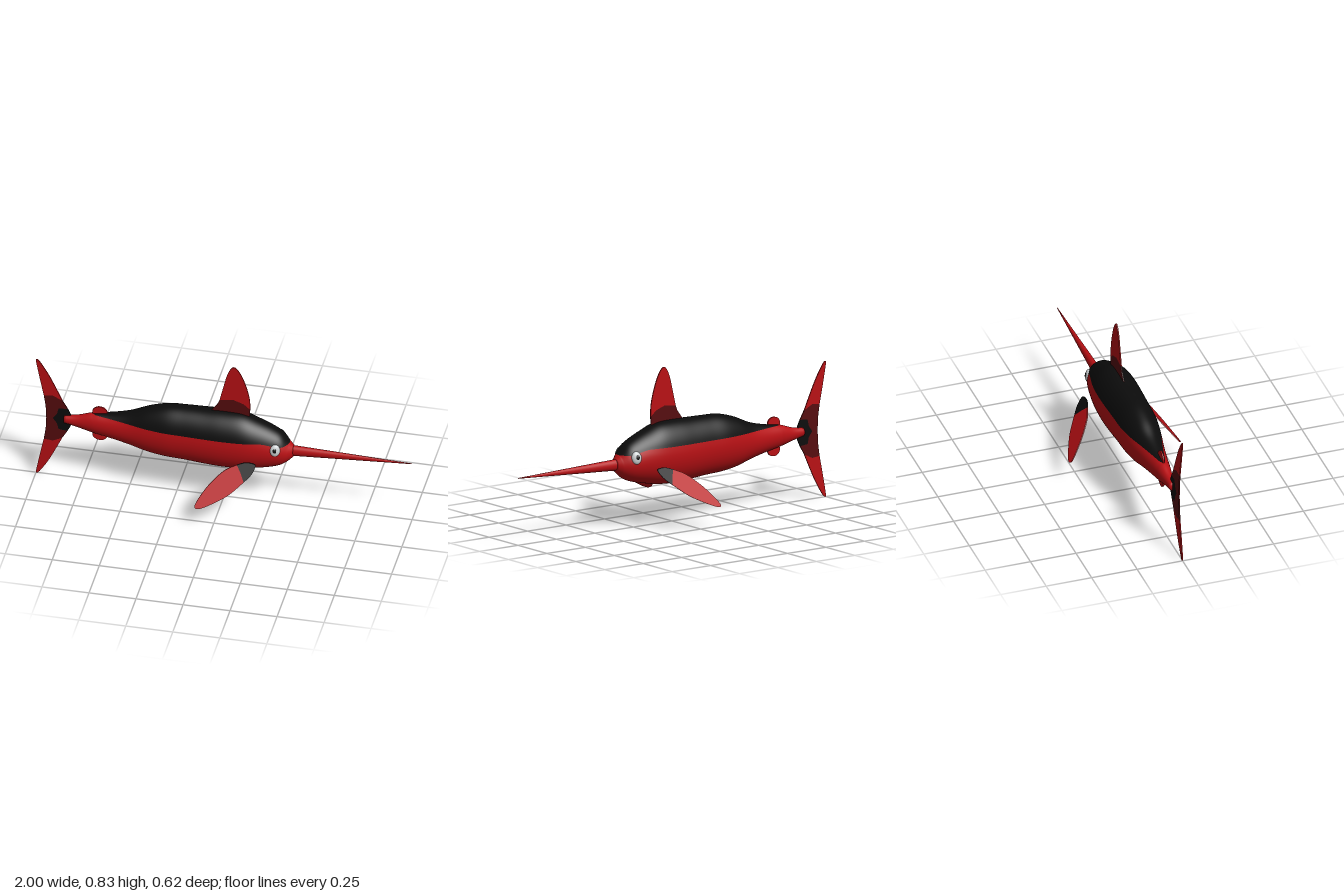
import * as THREE from 'three';

const paint = (name, color) => {
  const m = new THREE.MeshStandardMaterial({ color });
  m.name = name;
  return m;
};

export function createModel() {
  const model = new THREE.Group();
  model.name = 'swordfish';
  const red = paint('red', 0xb81014);
  const darkRed = paint('dark red', 0x560c0e);
  const black = paint('black', 0x0c0c0c);
  const white = paint('eye white', 0xccd0d2);

  const add = (name, geometry, material, parent = model) => {
    const mesh = new THREE.Mesh(geometry, material);
    mesh.name = name;
    parent.add(mesh);
    return mesh;
  };

  // Body stations: x, top y, bottom y, half width
  const stations = [
    [-0.85, 0.39, 0.345, 0.02], [-0.78, 0.40, 0.33, 0.026], [-0.7, 0.425, 0.31, 0.04],
    [-0.6, 0.44, 0.292, 0.056], [-0.5, 0.465, 0.27, 0.073], [-0.4, 0.508, 0.242, 0.092],
    [-0.3, 0.535, 0.228, 0.105], [-0.2, 0.54, 0.223, 0.109], [-0.1, 0.542, 0.215, 0.114],
    [0, 0.545, 0.21, 0.117], [0.1, 0.54, 0.214, 0.114], [0.18, 0.512, 0.228, 0.105],
    [0.26, 0.478, 0.246, 0.09], [0.31, 0.448, 0.265, 0.075], [0.345, 0.405, 0.29, 0.052],
    [0.37, 0.38, 0.315, 0.028],
  ];
  const heights = new THREE.CatmullRomCurve3(
    stations.map(([x, t, b]) => new THREE.Vector3(x, t, b)), false, 'catmullrom', 0.5);
  const widths = new THREE.CatmullRomCurve3(
    stations.map(([x, , , w]) => new THREE.Vector3(x, w, 0)), false, 'catmullrom', 0.5);
  const rings = [];
  for (let i = 0; i <= 75; i++) {
    const p = heights.getPoint(i / 75);
    rings.push({ x: p.x, cy: (p.y + p.z) / 2, h: (p.y - p.z) / 2, w: widths.getPoint(i / 75).y });
  }
  // Collapsed end rings close the tail stalk and snout
  rings.unshift({ ...rings[0], h: 0.0001, w: 0.0001 });
  rings.push({ ...rings[rings.length - 1], h: 0.0001, w: 0.0001 });

  // Lofts either the back or the belly, split at the colour line
  const loft = (isBack) => {
    const pos = [], index = [], n = 28;
    rings.forEach(({ x, cy, h, w }, i) => {
      const line = 0.425 - 0.025 * THREE.MathUtils.smoothstep(x, 0.2, 0.33);
      const s = Math.asin(THREE.MathUtils.clamp((line - cy) / h, -1, 1));
      const from = isBack ? s : Math.PI - s;
      const to = isBack ? Math.PI - s : 2 * Math.PI + s;
      for (let j = 0; j <= n; j++) {
        const t = from + (to - from) * j / n;
        pos.push(x, cy + h * Math.sin(t), w * Math.cos(t));
        if (i < rings.length - 1 && j < n) {
          const a = i * (n + 1) + j, b = a + n + 1;
          index.push(a, b, a + 1, b, b + 1, a + 1);
        }
      }
    });
    const g = new THREE.BufferGeometry();
    g.setAttribute('position', new THREE.Float32BufferAttribute(pos, 3));
    g.setIndex(index);
    g.computeVertexNormals();
    return g;
  };
  add('back', loft(true), black);
  add('belly', loft(false), red);

  // Sword, flattened sideways
  const sword = new THREE.CylinderGeometry(0.002, 0.031, 0.65, 24);
  sword.rotateZ(-Math.PI / 2).scale(1, 1, 0.75);
  const swordMesh = add('sword', sword, red);
  swordMesh.position.set(0.675, 0.354, 0);
  swordMesh.rotation.z = 0.016;

  // Thin plate: straight base corners, then a smooth edge through the curve points
  const plate = (corners, curve = []) => {
    const shape = new THREE.Shape(corners.map((p) => new THREE.Vector2(...p)));
    if (curve.length) shape.splineThru(curve.map((p) => new THREE.Vector2(...p)));
    const g = new THREE.ExtrudeGeometry(shape, { depth: 0.006, bevelEnabled: false, curveSegments: 24 });
    return g.translate(0, 0, -0.003);
  };

  // Dorsal fin
  const dorsal = new THREE.Group();
  dorsal.name = 'dorsalFin';
  model.add(dorsal);
  add('dorsalFinTip', plate([[0.139, 0.575], [0.105, 0.605], [0.05, 0.624], [-0.023, 0.615]],
    [[-0.005, 0.69], [0.02, 0.785], [0.05, 0.829], [0.083, 0.8], [0.115, 0.725], [0.136, 0.64], [0.139, 0.575]]), red, dorsal);
  add('dorsalFinBase', plate([[-0.023, 0.615], [-0.035, 0.585], [-0.065, 0.545], [-0.065, 0.52],
    [0.12, 0.51], [0.137, 0.535], [0.139, 0.575], [0.105, 0.605], [0.05, 0.624]]), darkRed, dorsal);

  // Tail fin: one lobe, mirrored about the body line
  const midY = 0.364;
  for (const side of [1, -1]) {
    const lobe = new THREE.Group();
    lobe.name = side > 0 ? 'upperTailLobe' : 'lowerTailLobe';
    lobe.position.y = midY;
    lobe.scale.y = side;
    model.add(lobe);
    add('tailLobeTip', plate([[-0.958, 0.138], [-0.91, 0.143], [-0.86, 0.118]],
      [[-0.893, 0.19], [-0.935, 0.275], [-0.98, 0.347], [-0.998, 0.36], [-0.998, 0.34], [-0.978, 0.235], [-0.958, 0.138]]), red, lobe);
    add('tailLobeBand', plate([[-0.945, 0], [-0.948, 0.07], [-0.958, 0.138], [-0.91, 0.143], [-0.86, 0.118],
      [-0.832, 0.07], [-0.88, 0.065], [-0.888, 0.03], [-0.91, 0]]), darkRed, lobe);
    add('tailLobeRoot', plate([[-0.91, 0], [-0.888, 0.03], [-0.88, 0.065], [-0.832, 0.07],
      [-0.815, 0.035], [-0.81, 0]]), black, lobe);
  }

  // Small rounded finlets above and below the tail stalk
  for (const [name, y] of [['upperFinlet', 0.437], ['lowerFinlet', 0.298]]) {
    const g = new THREE.CylinderGeometry(1, 1, 0.008, 28).rotateX(Math.PI / 2).scale(0.04, 0.035, 1);
    add(name, g, red).position.set(-0.66, y, 0);
  }

  for (const side of [1, -1]) {
    const label = side > 0 ? 'front' : 'rear';

    // Pectoral fin, sheared outward as it drops
    const fin = new THREE.Group();
    fin.name = label + 'SidePectoralFin';
    fin.scale.z = side;
    model.add(fin);
    const splay = (g) => {
      const p = g.attributes.position;
      for (let i = 0; i < p.count; i++) p.setZ(i, p.getZ(i) + 0.135 + (0.325 - p.getY(i)) * 0.83);
      g.computeVertexNormals();
      return g;
    };
    add('pectoralFinTip', splay(plate([[0.148, 0.25], [0.125, 0.285], [0.1, 0.316]],
      [[0.035, 0.285], [-0.035, 0.22], [-0.085, 0.15], [-0.09, 0.124], [-0.06, 0.124], [0.01, 0.154], [0.08, 0.193], [0.148, 0.25]])), red, fin);
    add('pectoralFinRoot', splay(plate([[0.148, 0.25], [0.125, 0.285], [0.1, 0.316]],
      [[0.145, 0.329], [0.192, 0.326], [0.195, 0.308], [0.178, 0.278], [0.148, 0.25]])), black, fin);

    // Eye with a small pupil
    const eye = new THREE.Group();
    eye.name = label + 'SideEye';
    eye.position.set(0.287, 0.388, side * 0.076);
    eye.rotation.set(side * -0.15, side * 0.3, 0);
    model.add(eye);
    add('eyeball', new THREE.SphereGeometry(1, 24, 16).scale(0.027, 0.034, 0.015), white, eye);
    const pupil = add('pupil', new THREE.SphereGeometry(1, 16, 10).scale(0.01, 0.012, 0.004), black, eye);
    pupil.position.set(-0.004, 0.002, side * 0.0135);
  }
  return model;
}
